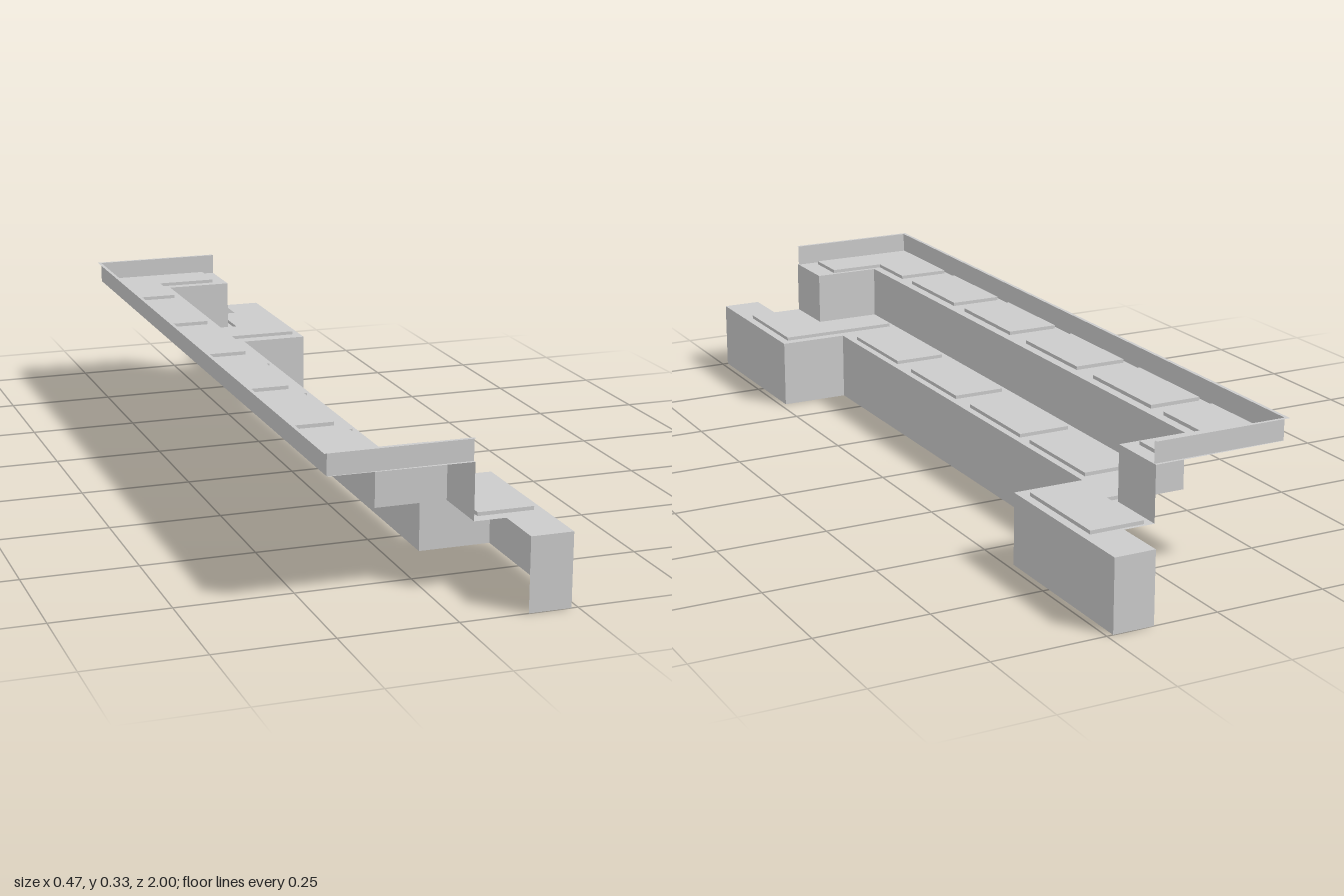
import * as THREE from 'three';

const grey = new THREE.MeshStandardMaterial({ color: 0xcccccc, flatShading: true, side: THREE.DoubleSide });

// Shape from plan points [x, z]; lies flat after rotateX(-90 deg)
const planShape = (pts) => new THREE.Shape(pts.map(([x, z]) => new THREE.Vector2(x, -z)));

function add(parent, name, geometry) {
  const mesh = new THREE.Mesh(geometry, grey);
  mesh.name = name;
  parent.add(mesh);
}

// Open horizontal sheet at height y
const sheet = (pts, y) => new THREE.ShapeGeometry(planShape(pts)).rotateX(-Math.PI / 2).translate(0, y, 0);

// Thin raised pad standing on height y
const pad = (pts, y, h = 0.008) =>
  new THREE.ExtrudeGeometry(planShape(pts), { depth: h, bevelEnabled: false }).rotateX(-Math.PI / 2).translate(0, y, 0);

// Open vertical wall following a plan path from y0 to y1
function wall(path, y0, y1) {
  const pos = [], index = [];
  path.forEach(([x, z]) => pos.push(x, y0, z, x, y1, z));
  for (let i = 0; i < path.length - 1; i++) {
    const a = i * 2;
    index.push(a, a + 2, a + 3, a, a + 3, a + 1);
  }
  const g = new THREE.BufferGeometry();
  g.setAttribute('position', new THREE.Float32BufferAttribute(pos, 3));
  g.setIndex(index);
  const flat = g.toNonIndexed();
  flat.computeVertexNormals();
  return flat;
}

// Completes a path given for +z by its mirror image at -z
const mirrored = (half) => [...half, ...half.slice().reverse().map(([x, z]) => [x, -z])];

const rect = (x0, x1, z0, z1) => [[x0, z0], [x1, z0], [x1, z1], [x0, z1]];

export function createModel() {
  const group = new THREE.Group();
  group.name = 'steppedSeating';

  const Y1 = 0.158, Y2 = 0.28, Y3 = 0.328; // lower tread, upper tread, rim top
  const back = -0.228, mid = -0.079, front = 0.076, out = 0.236;
  const end = 0.879, lip = 0.008;

  // Plan lines of the two risers
  const lowerEdge = mirrored([[0.145, 1], [out, 1], [out, 0.602], [front, 0.602]]);
  const upperEdge = mirrored([[front, end + 0.005], [front, 0.745], [mid, 0.745]]);

  // Lower step
  add(group, 'lowerRiser', wall(lowerEdge, 0, Y1));
  add(group, 'lowerTread', sheet([
    ...mirrored([[0.145, end + 0.005], [0.145, 1], [out, 1], [out, 0.602], [front, 0.602]]),
    ...upperEdge.slice().reverse(),
  ], Y1));

  // Upper step
  add(group, 'upperRiser', wall(upperEdge, Y1, Y2));
  add(group, 'upperTread', sheet([...upperEdge, [back, -end], [back, end]], Y2));

  // Rim around the back and ends, with a narrow outward lip
  const rim = mirrored([[front, end - 0.002], [back, end - 0.002]]);
  const lipEdge = mirrored([[front, end - 0.002 + lip], [back - lip, end - 0.002 + lip]]);
  add(group, 'rimWall', wall(rim, Y2, Y3));
  add(group, 'rimLip', sheet([...rim, ...lipEdge.slice().reverse()], Y3));

  // Straight seat pads
  [[-0.58, -0.34], [-0.27, -0.037], [0.042, 0.272], [0.328, 0.563]].forEach(([a, b]) =>
    add(group, 'upperPad', pad(rect(-0.22, -0.1, a, b), Y2)));
  [[-0.585, -0.347], [-0.304, -0.066], [0.005, 0.241], [0.315, 0.55]].forEach(([a, b]) =>
    add(group, 'lowerPad', pad(rect(-0.06, 0.06, a, b), Y1)));

  // L-shaped corner pads: [z inner, z step, z outer, x tip]
  [[0.62, 0.754, 0.857, 0.03], [-0.63, -0.767, -0.862, 0.042]].forEach(([zi, zs, zo, tip]) =>
    add(group, 'upperCornerPad', pad(
      [[-0.22, zi], [-0.1, zi], [-0.1, zs], [tip, zs], [tip, zo], [-0.22, zo]], Y2)));
  [[0.624, 0.717, 0.857], [-0.635, -0.733, -0.876]].forEach(([zi, zs, zo]) =>
    add(group, 'lowerCornerPad', pad(
      [[-0.065, zi], [0.217, zi], [0.217, zo], [0.095, zo], [0.095, zs], [-0.065, zs]], Y1)));

  return group;
}
